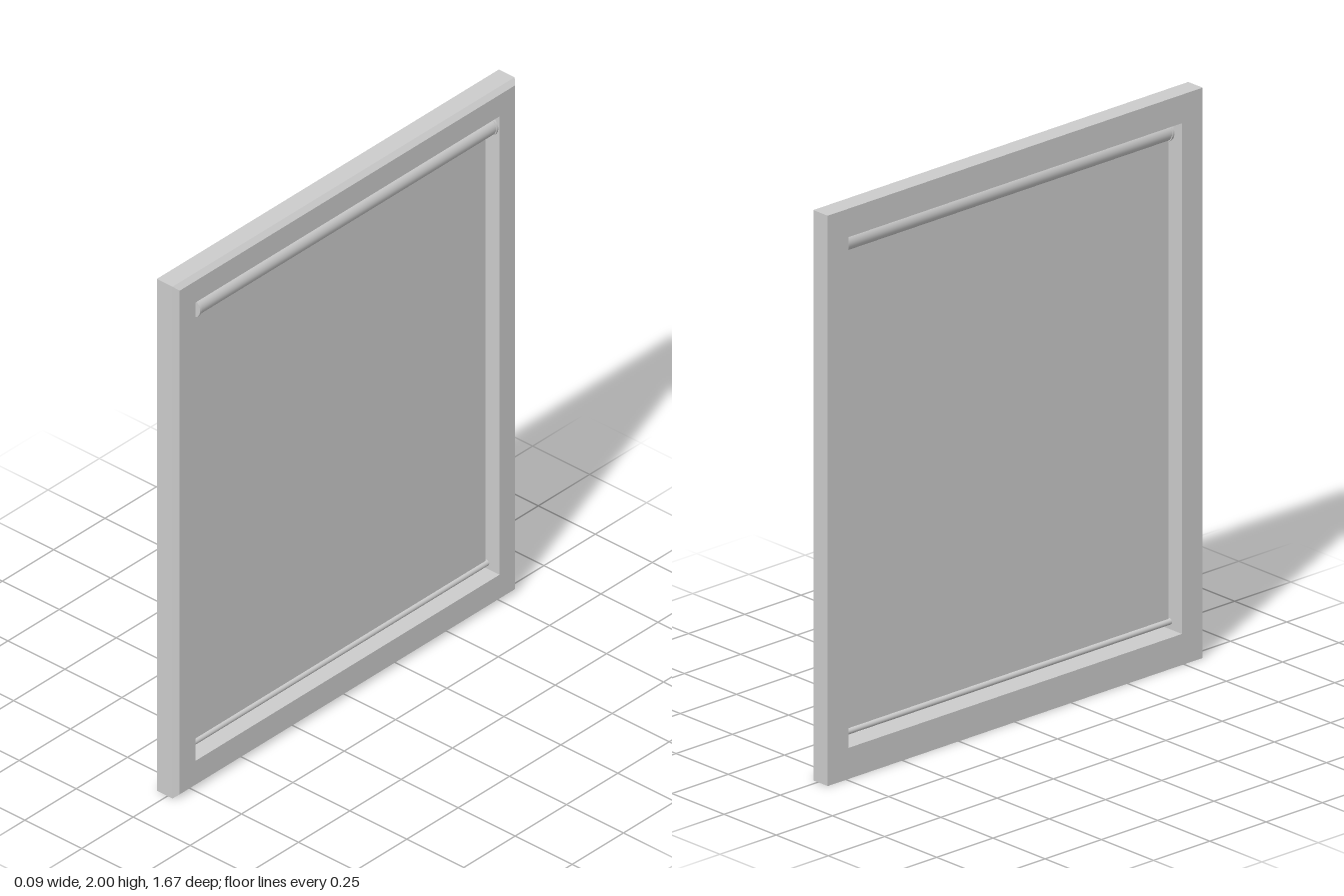
import * as THREE from 'three';

const material = new THREE.MeshStandardMaterial({ color: 0xcccccc });

function addMesh(group, name, geometry, x = 0, y = 0, z = 0) {
  const mesh = new THREE.Mesh(geometry, material);
  mesh.name = name;
  mesh.position.set(x, y, z);
  group.add(mesh);
  return mesh;
}

// Mitred rectangular ring: each profile loop is a rectangle [x, halfZ, bottom, top]
function frameGeometry(loops) {
  const corners = loops.map(([x, w, b, t]) => [[x, b, w], [x, b, -w], [x, t, -w], [x, t, w]]);
  const positions = [];
  for (let i = 0; i < corners.length; i++) {
    const a = corners[i], b = corners[(i + 1) % corners.length];
    for (let k = 0; k < 4; k++) {
      const n = (k + 1) % 4;
      positions.push(...a[k], ...a[n], ...b[n], ...a[k], ...b[n], ...b[k]);
    }
  }
  const geometry = new THREE.BufferGeometry();
  geometry.setAttribute('position', new THREE.Float32BufferAttribute(positions, 3));
  geometry.computeVertexNormals();
  return geometry;
}

// Cylinder lying along z
function rod(radius, length, sides = 32) {
  return new THREE.CylinderGeometry(radius, radius, length, sides).rotateX(Math.PI / 2);
}

export function createModel() {
  const model = new THREE.Group();
  model.name = 'windowWithRollerBlind';

  // Window frame: square back, chamfered outer front edge
  addMesh(model, 'windowFrame', frameGeometry([
    [-0.047, 0.833, 0, 2],
    [0.022, 0.833, 0, 2],
    [0.039, 0.817, 0.016, 1.984],
    [0.039, 0.741, 0.109, 1.9],
    [-0.047, 0.741, 0.109, 1.9],
  ]));

  // Roller blind: tube, end caps and mounting pins
  const blind = new THREE.Group();
  blind.name = 'rollerBlind';
  model.add(blind);
  const rollerX = 0.01, rollerY = 1.863;
  addMesh(blind, 'rollerTube', rod(0.034, 1.44), rollerX, rollerY);
  for (const side of [1, -1]) {
    addMesh(blind, 'rollerEndCap', rod(0.037, 0.008), rollerX, rollerY, side * 0.722);
    addMesh(blind, 'rollerPin', rod(0.014, 0.02, 16), rollerX, rollerY, side * 0.734);
  }

  // Hanging fabric and its rounded bottom bar
  addMesh(blind, 'fabric', new THREE.BoxGeometry(0.003, 1.72, 1.438), -0.004, 1.003, 0);
  addMesh(blind, 'bottomBar', rod(0.011, 1.452, 20), -0.004, 0.145);

  return model;
}
